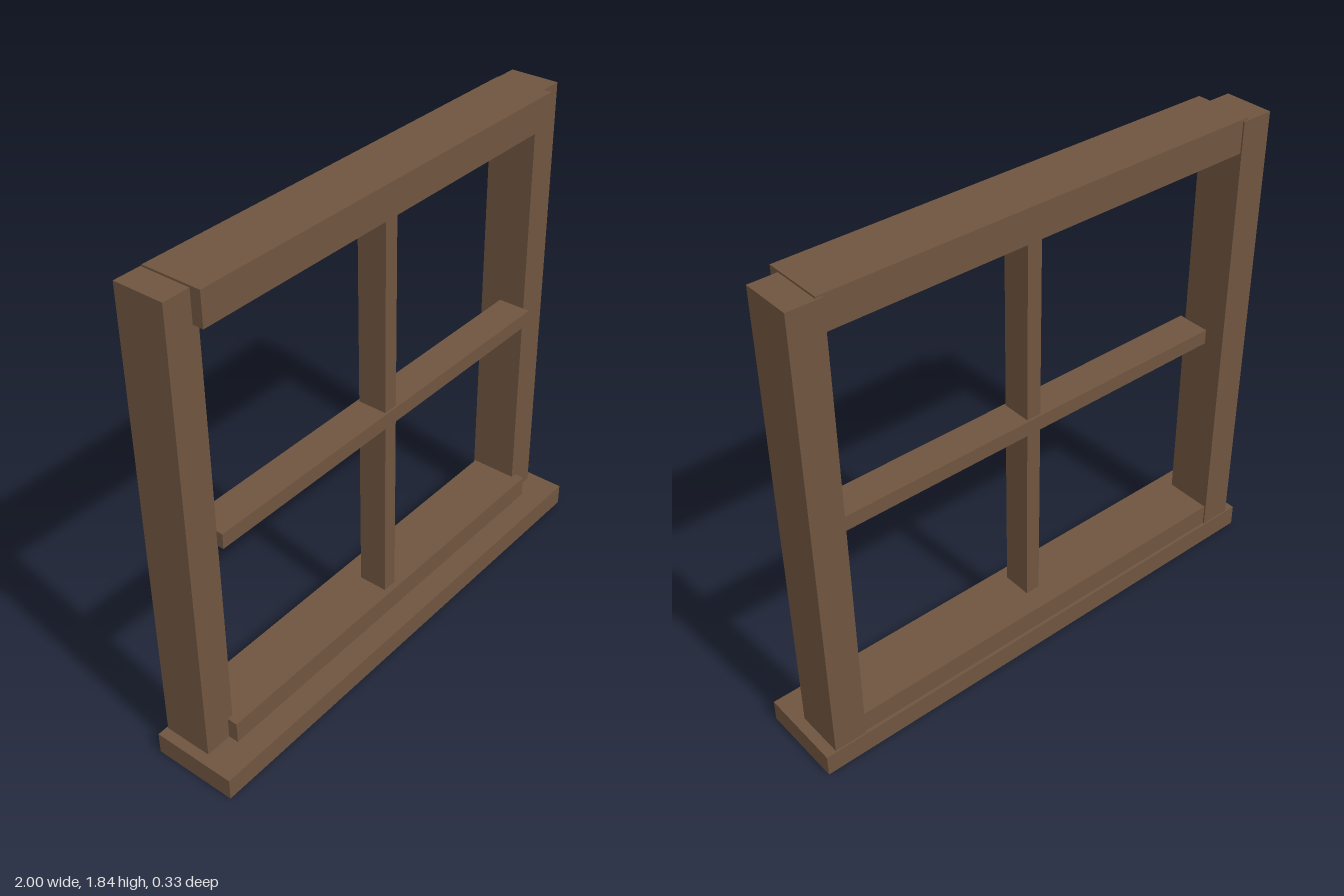
import * as THREE from 'three';

export function createModel() {
  const group = new THREE.Group();
  group.name = 'windowFrame';
  const wood = new THREE.MeshStandardMaterial({ color: 0x6f553f });
  wood.name = 'brown wood';

  // Adds a beam spanning the given [min, max] ranges
  function beam(name, [x0, x1], [y0, y1], [z0, z1]) {
    const mesh = new THREE.Mesh(new THREE.BoxGeometry(x1 - x0, y1 - y0, z1 - z0), wood);
    mesh.position.set((x0 + x1) / 2, (y0 + y1) / 2, (z0 + z1) / 2);
    mesh.name = name;
    group.add(mesh);
  }

  // Sill
  beam('sill', [-1, 1], [0, 0.085], [-0.164, 0.164]);

  // Side posts
  beam('leftPost', [0.835, 0.96], [0.08, 1.835], [-0.158, 0.031]);
  beam('rightPost', [-0.96, -0.835], [0.08, 1.835], [-0.158, 0.031]);

  // Rails, standing proud of the posts at the front
  beam('topRail', [-0.858, 0.858], [1.718, 1.842], [-0.152, 0.071]);
  beam('bottomRail', [-0.858, 0.858], [0.05, 0.17], [-0.152, 0.071]);

  // Glazing bars
  beam('verticalBar', [-0.029, 0.029], [0.16, 1.73], [-0.066, 0.048]);
  beam('horizontalBar', [-0.837, 0.837], [0.916, 0.974], [-0.075, 0.056]);

  return group;
}
